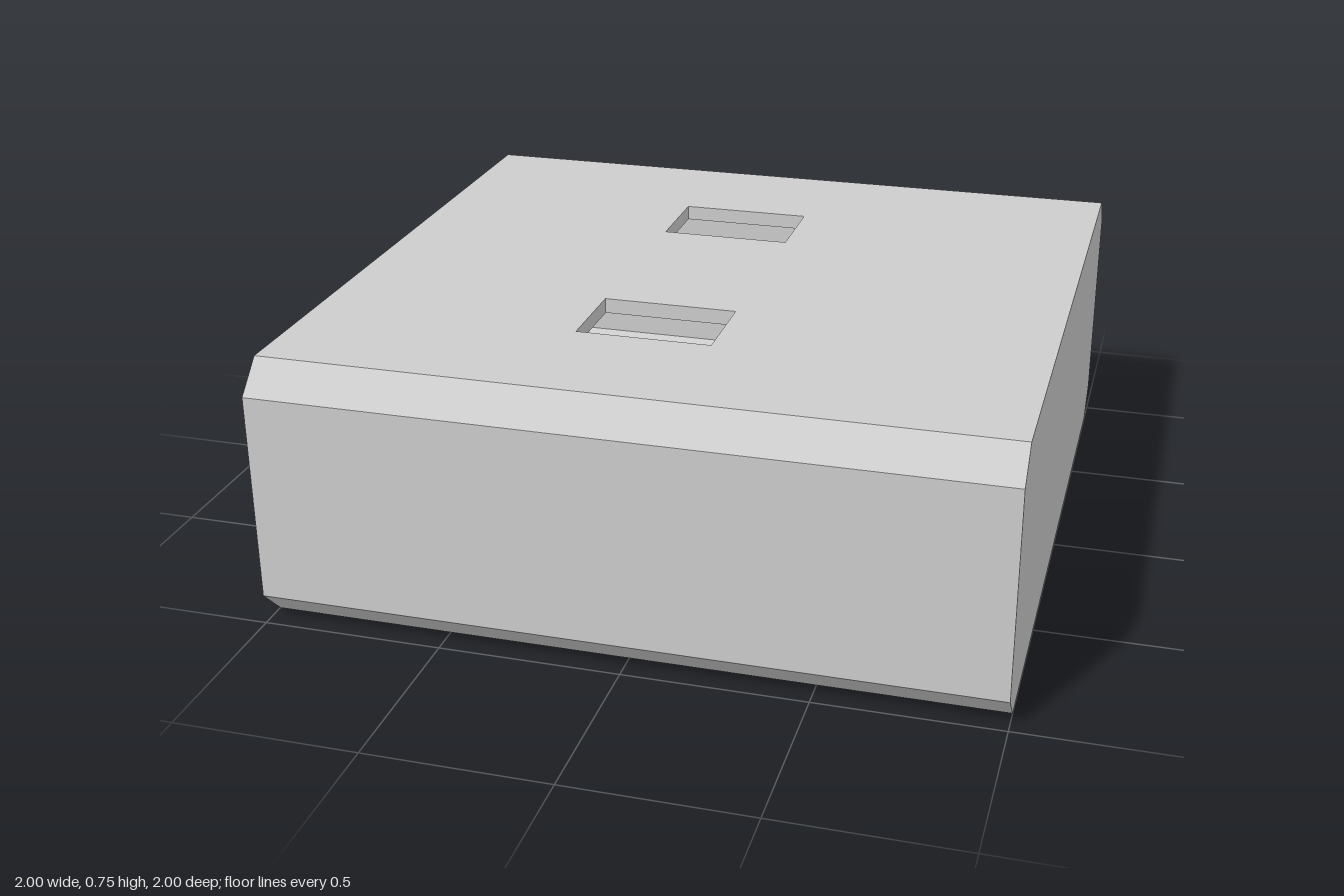
import * as THREE from 'three';

const H = 0.747;  // height
const C = 0.083;  // chamfer
const T = 0.042;  // wall thickness

// Chamfered outline in the z-y plane, inset from the outside by t.
// Starts at the front end of the top face and runs round underneath to the back end.
function outline(t) {
  const z = 1 - t, lo = t, hi = H - t;
  return [
    [z - C, hi], [z, hi - C], [z, lo + C], [z - C, lo],
    [-z + C, lo], [-z, lo + C], [-z, hi - C], [-z + C, hi],
  ].map(([a, b]) => new THREE.Vector2(a, b));
}

// Extrude a z-y shape along x, from x0 to x1.
function extrudeX(points, x0, x1) {
  const geo = new THREE.ExtrudeGeometry(new THREE.Shape(points), { depth: x1 - x0, bevelEnabled: false });
  return geo.rotateY(Math.PI / 2).translate(x0, 0, 0);
}

function rect(PathType, x0, x1, y0, y1) {
  const p = new PathType();
  p.moveTo(x0, y0);
  p.lineTo(x1, y0);
  p.lineTo(x1, y1);
  p.lineTo(x0, y1);
  p.closePath();
  return p;
}

export function createModel() {
  const group = new THREE.Group();
  group.name = 'chamferedSleeve';
  const grey = new THREE.MeshStandardMaterial({ color: 0xcccccc });
  grey.name = 'light grey';

  const add = (name, geo) => {
    const mesh = new THREE.Mesh(geo, grey);
    mesh.name = name;
    group.add(mesh);
  };

  // Floor, front and back walls with their chamfers, open at the top
  const seam = 1 - T - C;
  const wall = [
    new THREE.Vector2(seam, H), ...outline(0), new THREE.Vector2(-seam, H),
    ...outline(T).reverse(),
  ];
  add('wallsAndFloor', extrudeX(wall, -1, 1 - T));

  // Closed end; the opposite end stays open
  add('endWall', extrudeX(outline(0), 1 - T, 1));

  // Top plate with two rectangular slots
  const plate = rect(THREE.Shape, -1, 1 - T, -seam, seam);
  for (const s of [-1, 1]) {
    const yc = s * 0.417;
    plate.holes.push(rect(THREE.Path, -0.253, 0.12, yc - 0.125, yc + 0.125));
  }
  const top = new THREE.ExtrudeGeometry(plate, { depth: T, bevelEnabled: false });
  add('slottedTop', top.rotateX(-Math.PI / 2).translate(0, H - T, 0));

  return group;
}
